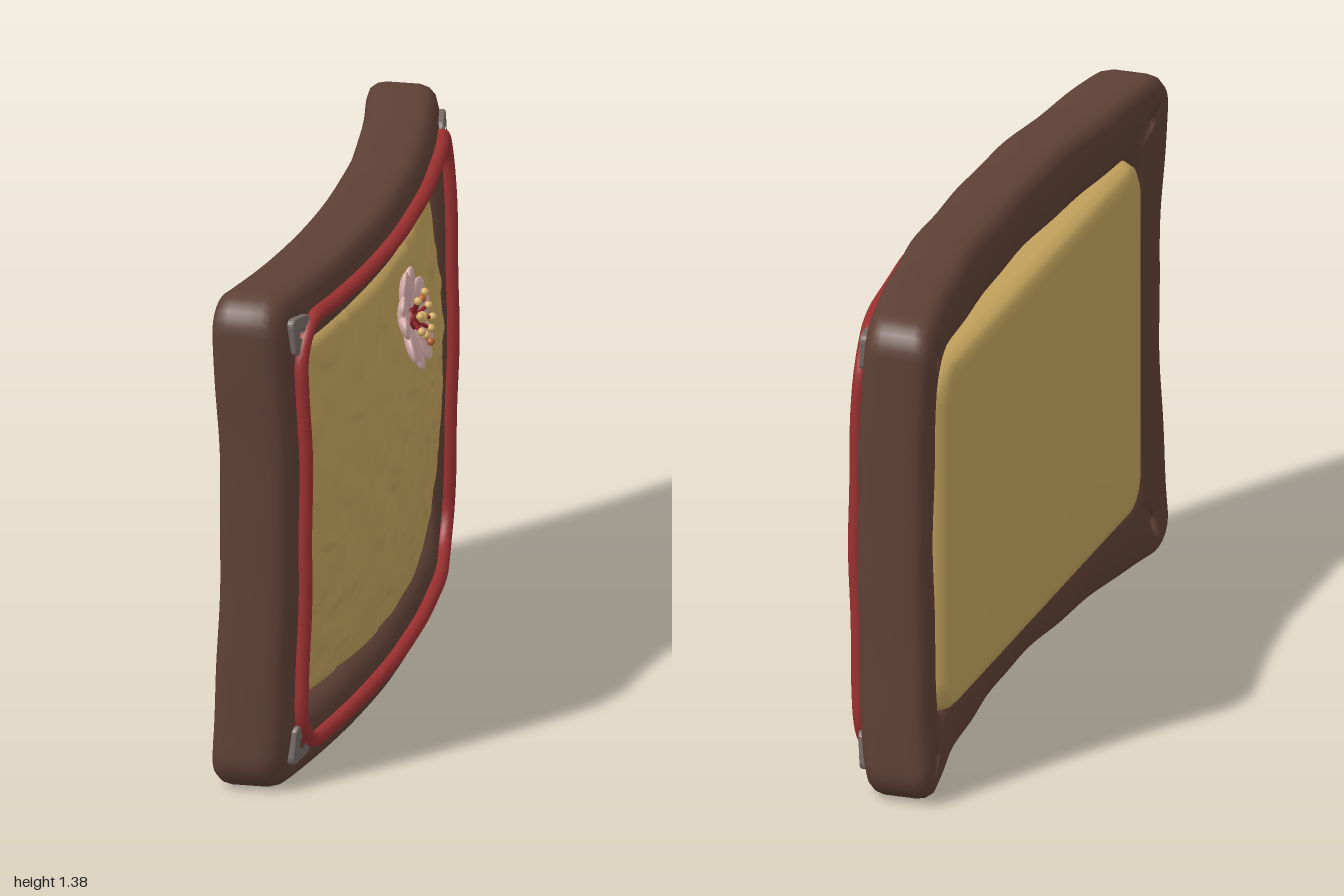
import * as THREE from 'three';

const mat = (name, color, side = THREE.FrontSide) => {
  const m = new THREE.MeshStandardMaterial({ color, side });
  m.name = name;
  return m;
};
const W = 1, H = 0.695;

// Everything is built in the XY plane facing +Z, then turned to face +X.
const arch = (x, y) => 0.11 * (1 - x * x) + 0.03 * (1 - (y / H) ** 2) * x * x;
const bend = (v) => {
  const { x, y } = v;
  const wob = 0.003 * Math.sin(x * 13 + y * 5) * Math.cos(y * 11 - x * 4);
  v.x = x * (1 - 0.01 * (1 - (y / H) ** 2)) + wob * 0.5;
  v.y = y * (1 - 0.02 * (1 - x * x)) + wob;
  v.z += arch(x, y) + wob;
  return v;
};
const bendGeometry = (g) => {
  const p = g.attributes.position, v = new THREE.Vector3();
  for (let i = 0; i < p.count; i++) {
    bend(v.fromBufferAttribute(p, i));
    p.setXYZ(i, v.x, v.y, v.z);
  }
  g.computeVertexNormals();
  return g;
};

// Rounded rectangle, counter-clockwise, with evenly divided corners and sides
const ARC = 7;
function roundedRect(a, b, r, n) {
  const corners = [[1, 1], [-1, 1], [-1, -1], [1, -1]].map(([sx, sy], k) => {
    const arc = [];
    for (let i = 0; i <= ARC; i++) {
      const t = (k + i / ARC) * Math.PI / 2;
      arc.push(new THREE.Vector2(sx * (a - r) + r * Math.cos(t), sy * (b - r) + r * Math.sin(t)));
    }
    return arc;
  });
  return corners.flatMap((arc, k) => {
    const next = corners[(k + 1) % 4][0], side = [];
    for (let i = 1; i < n; i++) side.push(arc[ARC].clone().lerp(next, i / n));
    return [...arc, ...side];
  });
}

// Surface through a list of closed rings; skip(i, j) leaves out a face
function loft(rings, closed, skip = () => false, extra = () => []) {
  const n = rings[0].length, m = rings.length, index = [];
  const id = (i, j) => (i % m) * n + (j % n);
  const quad = (a, b, c, d) => index.push(a, b, c, a, c, d);
  for (let i = 0; i < (closed ? m : m - 1); i++)
    for (let j = 0; j < n; j++)
      if (!skip(i, j)) quad(id(i, j), id(i, j + 1), id(i + 1, j + 1), id(i + 1, j));
  extra(id).forEach((q) => quad(...q));
  const g = new THREE.BufferGeometry().setFromPoints(rings.flat());
  g.setIndex(index);
  g.computeVertexNormals();
  return g;
}

// Frame: profile of [inset, depth] swept round, with a bolt hole in each corner
function frameGeometry() {
  const n = 30, stride = ARC + n, outer = roundedRect(W, H, 0.1, n), inner = roundedRect(0.82, 0.5, 0.08, n);
  const profile = [[0, -0.1], [0, -0.06], [0.03, -0.035], [0.1, -0.018], [0.22, -0.01], [0.43, -0.006],
    [0.51, -0.006], [0.7, -0.008], [0.8, -0.012], [0.9, -0.03], [0.98, -0.055], [1, -0.09], [1, -0.17],
    [0.93, -0.195], [0.8, -0.205], [0.51, -0.207], [0.43, -0.207], [0.2, -0.205], [0.08, -0.195], [0.02, -0.175], [0, -0.15]];
  const front = 5, back = 15;
  const rings = profile.map(([t, z]) => outer.map((p, j) => {
    const q = p.clone().lerp(inner[j], t);
    return bend(new THREE.Vector3(q.x, q.y, z));
  }));
  const skip = (i, j) => (i === front || i === back) && j % stride === 3;
  const walls = (id) => [0, 1, 2, 3].flatMap((k) => {
    const j = k * stride + 3;
    const f = [id(front, j), id(front, j + 1), id(front + 1, j + 1), id(front + 1, j)];
    const b = [id(back + 1, j), id(back + 1, j + 1), id(back, j + 1), id(back, j)];
    return f.map((a, e) => [a, f[(e + 1) % 4], b[(e + 1) % 4], b[e]]);
  });
  return loft(rings, true, skip, walls);
}

// Panel: flat back, domed front roughened with curved trowel strokes
function panelGeometry() {
  let seed = 7;
  const rnd = () => (seed = (seed * 16807) % 2147483647) / 2147483647;
  const strokes = Array.from({ length: 150 }, () => ({
    x: (rnd() * 2 - 1) * 0.8, y: (rnd() * 2 - 1) * 0.48, a: rnd() * 2.4 - 0.6,
    s: 0.05 + rnd() * 0.07, h: 0.004 + rnd() * 0.007, c: (rnd() - 0.5) * 12,
  }));
  const rough = (x, y) => {
    let h = 0.002 * Math.sin(x * 17 + 3 * Math.sin(y * 9)) * Math.cos(y * 15 + x * 6);
    for (const o of strokes) {
      const dx = x - o.x, dy = y - o.y, r2 = (dx * dx + dy * dy) / (o.s * o.s);
      if (r2 >= 1) continue;
      const p = dx * Math.cos(o.a) + dy * Math.sin(o.a);
      const q = dy * Math.cos(o.a) - dx * Math.sin(o.a) + o.c * p * p;
      h += o.h * (1 - r2) ** 2 * (1 / (1 + Math.exp(-q / 0.004)) - 0.5);
    }
    return h;
  };
  const outline = roundedRect(0.825, 0.508, 0.09, 90);
  const ring = (k, depth) => outline.map((p) => {
    const x = p.x * k, y = p.y * k;
    return new THREE.Vector3(x, y, depth(x, y));
  });
  const rings = [[0, -0.182], [0.5, -0.182], [0.9, -0.18], [0.95, -0.175], [0.98, -0.16], [0.995, -0.135], [1, -0.1]]
    .map(([k, z]) => ring(k, () => z));
  const steps = 52;
  for (let i = 0; i <= steps; i++) {
    const k = 1 - i / steps, rim = 0.03 * Math.max(0, (k - 0.93) / 0.07) ** 2;
    rings.push(ring(k, (x, y) => 0.14 - 0.1 * (x / 0.82) ** 2 - 0.05 * (y / 0.5) ** 2 - rim + rough(x, y)));
  }
  return loft(rings, false);
}

// Corner plate: rounded triangle with a hole
function bracketGeometry(sx, sy) {
  const P = (x, y) => [sx * (0.888 + x), sy * (0.577 + y)];
  const s = new THREE.Shape();
  s.moveTo(...P(0.02, 0.047));
  s.quadraticCurveTo(...P(0.05, 0.052), ...P(0.044, 0.02));
  s.lineTo(...P(0.038, -0.04));
  s.quadraticCurveTo(...P(0.022, -0.062), ...P(0.005, -0.035));
  s.lineTo(...P(-0.035, 0.005));
  s.quadraticCurveTo(...P(-0.065, 0.022), ...P(-0.04, 0.04));
  s.closePath();
  const hole = new THREE.Path();
  hole.absarc(sx * 0.888, sy * 0.577, 0.017, 0, Math.PI * 2, true);
  s.holes.push(hole);
  return bendGeometry(new THREE.ExtrudeGeometry(s, {
    depth: 0.045, bevelThickness: 0.005, bevelSize: 0.004, bevelSegments: 2, curveSegments: 8,
  }).translate(0, 0, -0.042));
}

// Petal: flattened sphere, wider outwards, notched at the tip and cupped
function petalGeometry() {
  const g = new THREE.SphereGeometry(1, 28, 20), p = g.attributes.position;
  for (let i = 0; i < p.count; i++) {
    const x = p.getX(i), y = p.getY(i), z = p.getZ(i);
    const px = 0.06 * x * (0.95 + 0.25 * y);
    const notch = 0.022 * Math.exp(-((px / 0.016) ** 2)) * Math.max(0, y) ** 2;
    const r = 0.015 + 0.064 * (y + 1) - notch;
    p.setXYZ(i, px, r, 0.016 * z + 1.3 * r * r + 2.5 * px * px);
  }
  g.computeVertexNormals();
  return g;
}

export function createModel() {
  const wood = mat('dark wood', 0x5e4035), plaster = mat('ochre plaster', 0xc2a25c), red = mat('red cord', 0x9c3030);
  const metal = mat('grey metal', 0x756a66), pink = mat('petal pink', 0xd9b0ae);
  const crimson = mat('filament crimson', 0x8c2326), pollen = mat('pollen yellow', 0xd6b068), amber = mat('amber', 0xb8622f);
  const model = new THREE.Group(), board = new THREE.Group();
  board.name = 'framedPanel';
  board.rotation.y = Math.PI / 2;
  board.position.y = H;
  model.add(board);
  const add = (parent, name, geometry, material) => {
    const m = new THREE.Mesh(geometry, material);
    m.name = name;
    parent.add(m);
    return m;
  };

  add(board, 'frame', frameGeometry(), wood);
  add(board, 'panel', panelGeometry(), plaster);

  // Cord lying on the frame front
  const path = roundedRect(0.9, 0.6, 0.13, 14).map((p) => bend(new THREE.Vector3(p.x, p.y, 0.004)));
  add(board, 'cord', new THREE.TubeGeometry(new THREE.CatmullRomCurve3(path, true), 240, 0.021, 10, true), red);

  for (const sx of [-1, 1]) for (const sy of [-1, 1]) add(board, 'cornerPlate', bracketGeometry(sx, sy), metal);

  // Blossom
  const flower = new THREE.Group();
  flower.name = 'blossom';
  flower.position.set(0, 0.34, 0.132);
  flower.rotation.x = -0.2;
  board.add(flower);
  const petal = petalGeometry();
  for (let i = 0; i < 5; i++) add(flower, 'petal', petal, pink).rotation.z = i * Math.PI * 2 / 5;
  add(flower, 'flowerCentre', new THREE.SphereGeometry(0.03, 16, 10).scale(1, 1, 0.7), crimson).position.z = 0.012;
  add(flower, 'pistil', new THREE.SphereGeometry(0.016, 12, 8), pollen).position.z = 0.038;
  for (let i = 0; i < 10; i++) {
    const a = (i + 0.5) * Math.PI / 5, r = i % 2 ? 0.07 : 0.052;
    const at = (d, z) => new THREE.Vector3(d * Math.cos(a), d * Math.sin(a), z);
    const curve = new THREE.CatmullRomCurve3([at(0.01, 0.015), at(r * 0.6, 0.03), at(r, 0.046)]);
    add(flower, 'filament', new THREE.TubeGeometry(curve, 6, 0.0055, 6), crimson);
    add(flower, 'anther', new THREE.SphereGeometry(0.0115, 10, 8), i % 5 === 2 ? amber : pollen).position.copy(at(r, 0.048));
  }
  return model;
}
